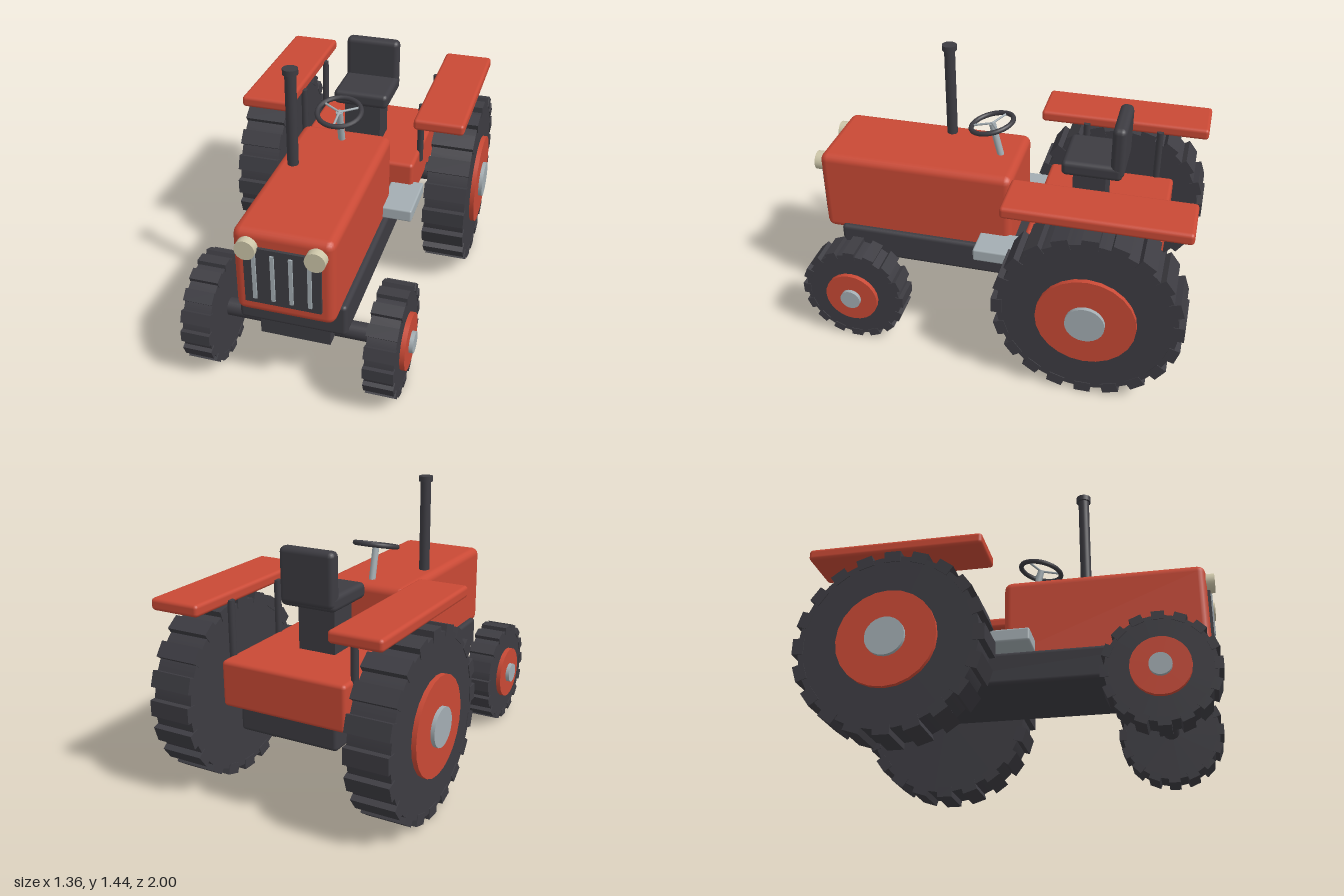
import * as THREE from 'three';
import { RoundedBoxGeometry } from 'three/addons/geometries/RoundedBoxGeometry.js';

const paint = (name, color) => {
  const m = new THREE.MeshStandardMaterial({ color });
  m.name = name;
  return m;
};

export function createModel() {
  const red = paint('red paint', 0xc94935);
  const dark = paint('dark metal and rubber', 0x3d3c42);
  const steel = paint('pale steel', 0xa3adb2);
  const cream = paint('cream lamp', 0xccc5a8);

  const tractor = new THREE.Group();
  tractor.name = 'tractor';

  const add = (name, geometry, material, x, y, z, parent = tractor) => {
    const mesh = new THREE.Mesh(geometry, material);
    mesh.name = name;
    mesh.position.set(x, y, z);
    parent.add(mesh);
    return mesh;
  };

  // Box given by its limits on each axis, with rounded edges when r > 0
  const block = (name, material, [x0, x1], [y0, y1], [z0, z1], r = 0) => {
    const size = [x1 - x0, y1 - y0, z1 - z0];
    const geometry = r ? new RoundedBoxGeometry(...size, 2, r) : new THREE.BoxGeometry(...size);
    return add(name, geometry, material, (x0 + x1) / 2, (y0 + y1) / 2, (z0 + z1) / 2);
  };

  const upright = (r, h, sides = 20) => new THREE.CylinderGeometry(r, r, h, sides);
  const alongX = (r, w, sides = 24) => upright(r, w, sides).rotateZ(-Math.PI / 2);

  // Chassis and bodywork
  block('frame', dark, [-0.265, 0.265], [0.355, 0.525], [-0.79, 0.86], 0.02);
  block('hood', red, [-0.238, 0.238], [0.485, 0.935], [-0.065, 0.957], 0.04);
  block('rearBody', red, [-0.335, 0.335], [0.48, 0.712], [-0.83, -0.16], 0.02);
  block('frontAxleBlock', dark, [-0.175, 0.175], [0.255, 0.37], [0.61, 0.825]);
  add('frontAxle', alongX(0.045, 0.8), dark, 0, 0.28, 0.717);
  add('rearAxle', alongX(0.05, 0.9), dark, 0, 0.47, -0.53);

  // Grille and its bars
  block('grille', dark, [-0.181, 0.181], [0.56, 0.86], [0.94, 0.972]);
  for (const x of [-0.13, -0.043, 0.043, 0.13]) {
    block('grilleBar', steel, [x - 0.009, x + 0.009], [0.588, 0.835], [0.965, 0.981]);
  }

  // Exhaust stack
  add('exhaustPipe', upright(0.028, 0.52), dark, -0.157, 1.165, 0.353);
  add('exhaustCap', upright(0.038, 0.028), dark, -0.157, 1.43, 0.353);

  // Steering column and wheel share one tilted axis
  const steering = new THREE.Group();
  steering.name = 'steering';
  steering.position.set(0, 1.11, 0.09);
  steering.rotation.x = 0.24;
  tractor.add(steering);
  add('steeringColumn', upright(0.018, 0.22), steel, 0, -0.11, 0, steering);
  add('steeringRim', new THREE.TorusGeometry(0.111, 0.013, 10, 32).rotateX(Math.PI / 2), dark, 0, 0, 0, steering);
  for (let i = 0; i < 3; i++) {
    const spoke = new THREE.CylinderGeometry(0.006, 0.006, 0.11, 8).rotateX(Math.PI / 2).translate(0, 0, 0.055);
    add('steeringSpoke', spoke, steel, 0, 0, 0, steering).rotation.y = i * Math.PI * 2 / 3;
  }

  // Seat
  block('seatPedestal', dark, [-0.1, 0.1], [0.7, 0.96], [-0.515, -0.35]);
  block('seatCushion', dark, [-0.15, 0.15], [0.948, 1.028], [-0.6, -0.295], 0.025);
  block('seatBack', dark, [-0.148, 0.148], [0.96, 1.238], [-0.608, -0.538], 0.028);

  // Wheel: tyre with tread lugs, red rim disc and steel hub on the outer side
  const makeWheel = (name, s, y, z, radius, lugDepth, x0, x1, lugs, rimR, hubR) => {
    const wheel = new THREE.Group();
    wheel.name = name;
    wheel.position.set(0, y, z);
    tractor.add(wheel);
    const mid = s * (x0 + x1) / 2;
    const width = x1 - x0;
    const core = radius - lugDepth;
    add('tyre', alongX(core, width - 0.008, 48), dark, mid, 0, 0, wheel);
    const lugWidth = Math.PI * 2 * radius / lugs * 0.55;
    for (let i = 0; i < lugs; i++) {
      const lug = new THREE.BoxGeometry(width, lugDepth * 2, lugWidth).translate(0, core, 0);
      add('treadLug', lug, dark, mid, 0, 0, wheel).rotation.x = i / lugs * Math.PI * 2;
    }
    add('rim', alongX(rimR, 0.06), red, s * (x1 - 0.01), 0, 0, wheel);
    add('hub', alongX(hubR, 0.08), steel, s * x1, 0, 0, wheel);
  };

  // Parts mirrored left and right
  for (const s of [-1, 1]) {
    const side = s > 0 ? 'left' : 'right';
    const span = (a, b) => (s > 0 ? [a, b] : [-b, -a]);
    makeWheel(side + 'RearWheel', s, 0.47, -0.53, 0.468, 0.028, 0.415, 0.638, 20, 0.245, 0.097);
    makeWheel(side + 'FrontWheel', s, 0.277, 0.717, 0.275, 0.02, 0.375, 0.522, 16, 0.14, 0.053);
    block(side + 'Fender', red, span(0.338, 0.602), [0.962, 1.022], [-0.985, -0.095], 0.018);
    for (const z of [-0.735, -0.345]) {
      add(side + 'FenderPost', upright(0.018, 0.34, 12), dark, s * 0.332, 0.815, z);
    }
    block(side + 'Footboard', steel, span(0.215, 0.39), [0.525, 0.592], [-0.2, 0.098], 0.01);
    const lamp = upright(0.049, 0.05, 24).rotateX(Math.PI / 2);
    add(side + 'Headlight', lamp, cream, s * 0.162, 0.857, 0.973);
  }

  return tractor;
}
